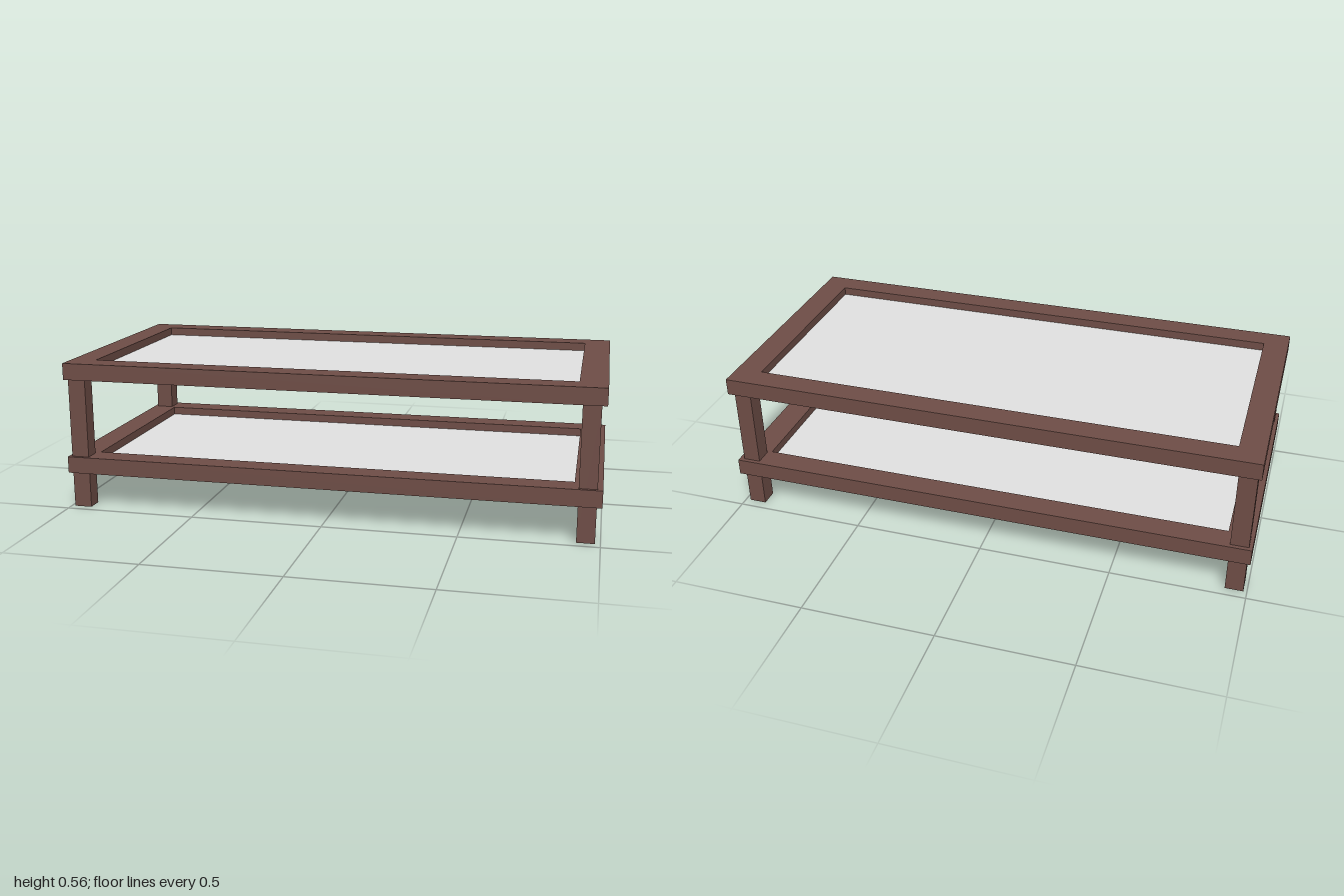
import * as THREE from 'three';

export function createModel() {
  const model = new THREE.Group();
  const wood = new THREE.MeshStandardMaterial({ color: 0x6f4e47 });
  wood.name = 'dark brown wood';
  const glass = new THREE.MeshStandardMaterial({ color: 0xe3e3e3 });
  glass.name = 'pale grey panel';

  const add = (name, geometry, material, parent = model) => {
    const mesh = new THREE.Mesh(geometry, material);
    mesh.name = name;
    parent.add(mesh);
    return mesh;
  };

  // Box given by its lower and upper limits on each axis
  const box = (name, [x0, x1], [y0, y1], [z0, z1], material, parent) =>
    add(name, new THREE.BoxGeometry(x1 - x0, y1 - y0, z1 - z0), material, parent)
      .position.set((x0 + x1) / 2, (y0 + y1) / 2, (z0 + z1) / 2);

  // Rectangular outline lying in the plan plane, counter-clockwise from above
  const rectangle = (Path, x0, x1, z0, z1) => new Path([
    [x0, z1], [x1, z1], [x1, z0], [x0, z0],
  ].map(([x, z]) => new THREE.Vector2(x, -z)));

  // A tier: an open wooden frame with a thin panel set into it
  const height = 0.063;
  const tier = (name, bottom) => {
    const group = new THREE.Group();
    group.name = name;
    const outline = rectangle(THREE.Shape, -1, 1, -0.48, 0.48);
    outline.holes.push(rectangle(THREE.Path, -0.905, 0.9, -0.388, 0.389));
    const frame = new THREE.ExtrudeGeometry(outline, { depth: height, bevelEnabled: false });
    frame.rotateX(-Math.PI / 2).translate(0, bottom, 0);
    add(name + 'Frame', frame, wood, group);
    box(name + 'Panel', [-0.91, 0.905], [bottom + 0.026, bottom + 0.032], [-0.393, 0.394], glass, group);
    model.add(group);
  };
  tier('tableTop', 0.499);
  tier('lowerShelf', 0.136);

  // Four square legs, running up through the shelf to the top frame
  const legX = { right: [-0.987, -0.92], left: [0.916, 0.981] };
  const legZ = { front: [0.407, 0.467], back: [-0.464, -0.398] };
  for (const [side, x] of Object.entries(legX)) {
    for (const [end, z] of Object.entries(legZ)) {
      box(`${end}${side === 'left' ? 'Left' : 'Right'}Leg`, x, [0, 0.5], z, wood);
    }
  }
  return model;
}
